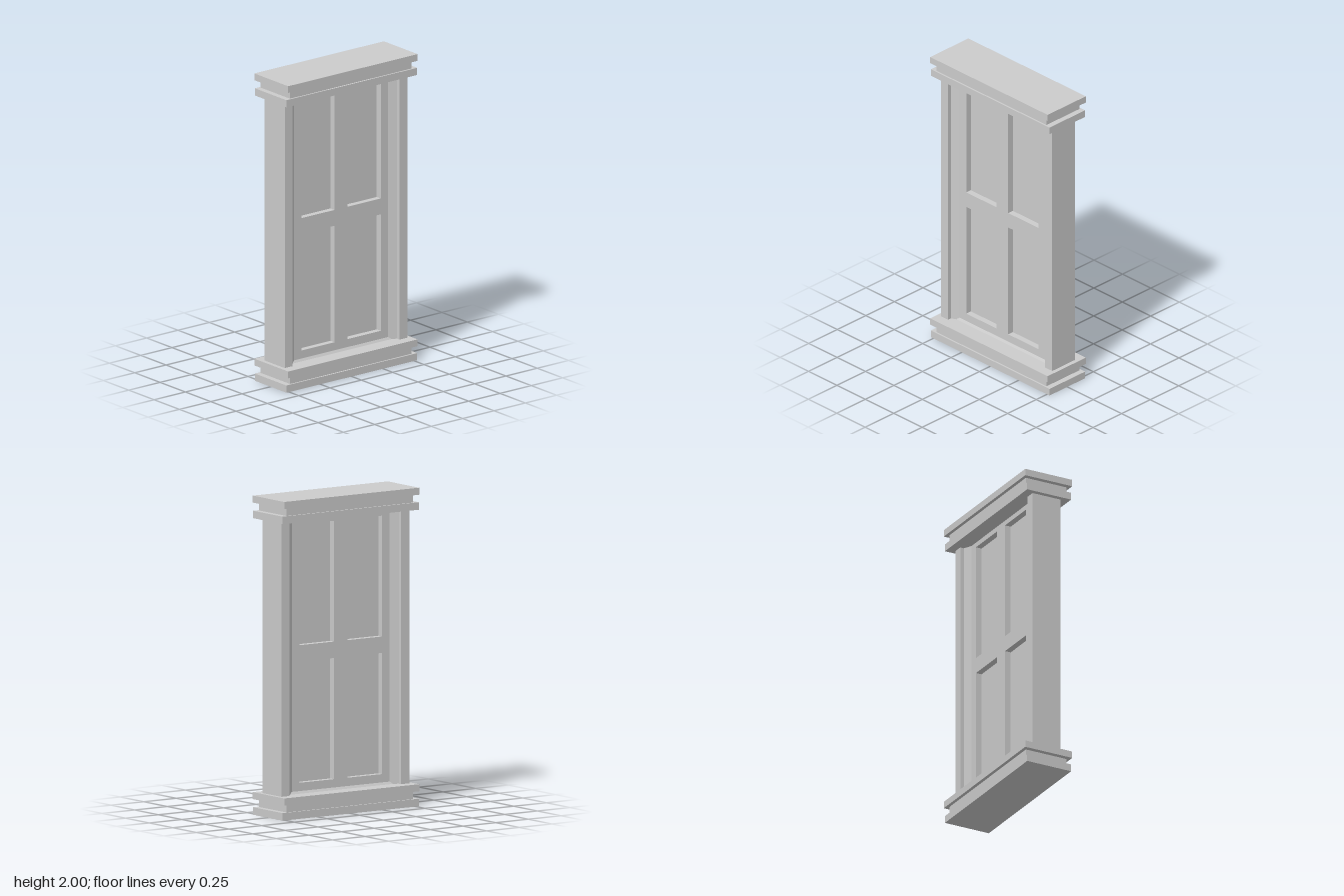
import * as THREE from 'three';

const material = new THREE.MeshStandardMaterial({ color: 0xcccccc, flatShading: true });

function addMesh(parent, name, geometry) {
  const mesh = new THREE.Mesh(geometry, material);
  mesh.name = name;
  parent.add(mesh);
  return mesh;
}

function polygon(points, Type = THREE.Shape) {
  return new Type(points.map(([x, y]) => new THREE.Vector2(x, y)));
}

const rect = (x0, y0, x1, y1) => [[x0, y0], [x1, y0], [x1, y1], [x0, y1]];

// Three stacked slabs with a recessed middle band
function createMoulding(name, y0) {
  const group = new THREE.Group();
  group.name = name;
  const slabs = [
    ['lowerSlab', 0, 0.047, 0.156, 0.522],
    ['recessedBand', 0.047, 0.096, 0.145, 0.485],
    ['upperSlab', 0.096, 0.14, 0.167, 0.517],
  ];
  for (const [part, low, high, x, z] of slabs) {
    addMesh(group, part, new THREE.BoxGeometry(2 * x, high - low, 2 * z))
      .position.y = y0 + (low + high) / 2;
  }
  return group;
}

export function createModel() {
  const model = new THREE.Group();
  model.name = 'panelledDoor';
  const bottom = 0.14, top = 1.864, face = 0.05;

  // Base and head mouldings
  model.add(createMoulding('baseMoulding', 0), createMoulding('headMoulding', 1.86));

  // Jambs with a stepped, splayed inner edge
  const half = [[0.1, 0.49], [0.1, 0.427], [0.075, 0.427], [face, 0.375]];
  const outline = [...half, ...half.map(([x, z]) => [-x, z]).reverse()];
  for (const [name, turn] of [['frontJamb', Math.PI], ['backJamb', 0]]) {
    const geometry = new THREE.ExtrudeGeometry(polygon(outline), { depth: top - bottom, bevelEnabled: false });
    geometry.rotateX(-Math.PI / 2).rotateY(turn);
    addMesh(model, name, geometry).position.y = bottom;
  }

  // Door frame with four openings
  const frame = polygon(rect(-0.38, bottom, 0.38, top));
  for (const [y0, y1] of [[0.207, 0.967], [1.07, 1.828]]) {
    for (const [z0, z1] of [[-0.317, -0.052], [0.052, 0.317]]) {
      frame.holes.push(polygon(rect(z0, y0, z1, y1), THREE.Path));
    }
  }
  const frameGeometry = new THREE.ExtrudeGeometry(frame, { depth: 2 * face, bevelEnabled: false });
  frameGeometry.translate(0, 0, -face).rotateY(Math.PI / 2);
  addMesh(model, 'doorFrame', frameGeometry);

  // Recessed panel sheet behind the openings
  addMesh(model, 'doorPanels', new THREE.BoxGeometry(0.02, 1.66, 0.68)).position.y = 1.015;

  // Sloping sill strip on both faces
  const sill = polygon([[-0.06, bottom], [0.06, bottom], [face, 0.155], [-face, 0.155]]);
  const sillGeometry = new THREE.ExtrudeGeometry(sill, { depth: 0.78, bevelEnabled: false });
  addMesh(model, 'sillBevel', sillGeometry.translate(0, 0, -0.39));

  return model;
}
